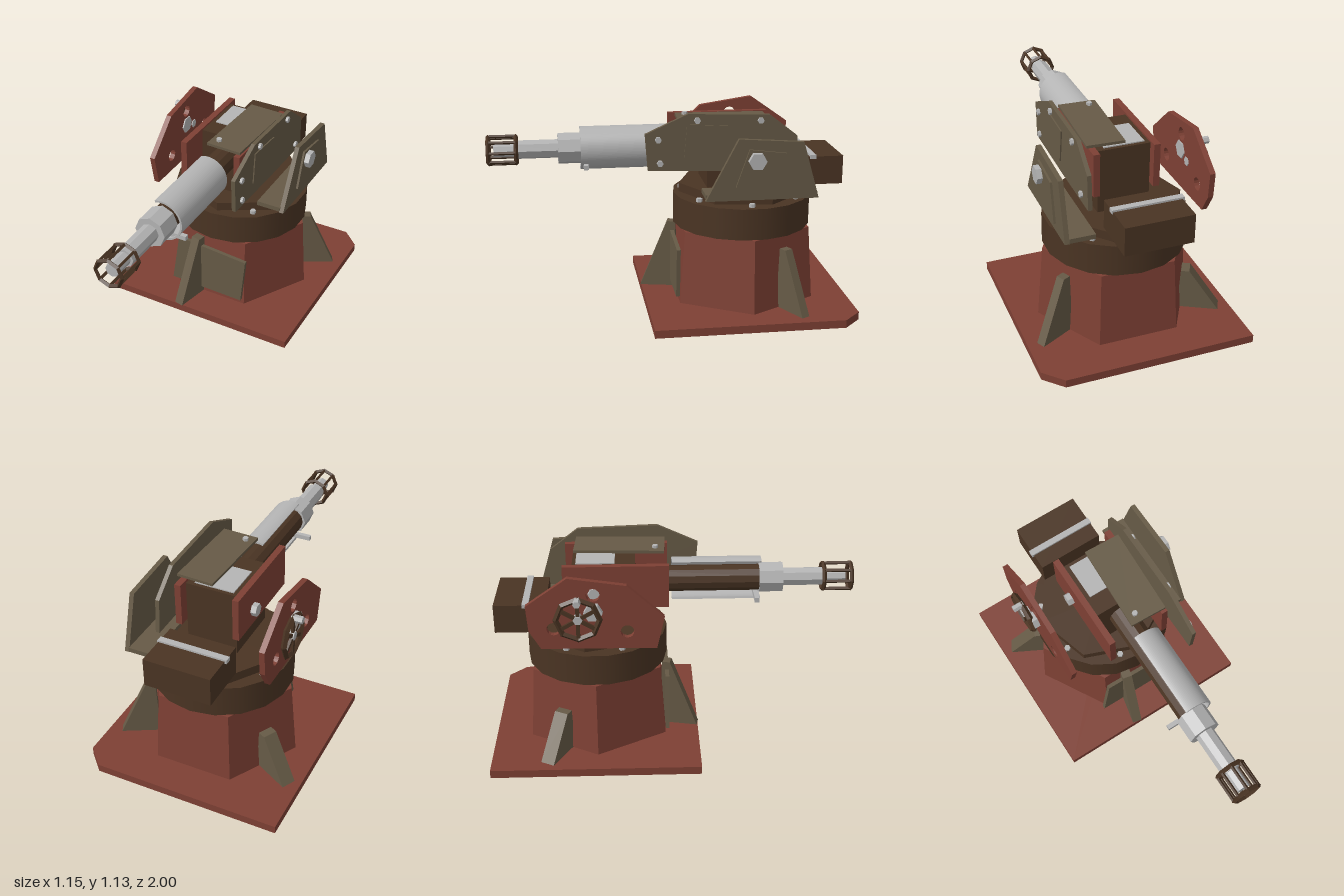
import * as THREE from 'three';

const mat = (name, color, side = THREE.FrontSide) => {
  const m = new THREE.MeshStandardMaterial({ color, side });
  m.name = name;
  return m;
};

export function createModel() {
  const red = mat('oxide red', 0x7e4034);
  const olive = mat('olive drab', 0x665a46);
  const brown = mat('dark brown', 0x4a3423);
  const steel = mat('bare steel', 0xb4b4b4);
  const model = new THREE.Group();
  const CZ = -0.42, AY = 0.91; // turret axis z, gun axis y

  const add = (name, geo, material, x = 0, y = 0, z = 0, parent = model) => {
    const m = new THREE.Mesh(geo, material);
    m.name = name;
    m.position.set(x, y, z);
    parent.add(m);
    return m;
  };
  // Box given by its limits
  const box = (name, material, x0, x1, y0, y1, z0, z1) =>
    add(name, new THREE.BoxGeometry(x1 - x0, y1 - y0, z1 - z0), material,
      (x0 + x1) / 2, (y0 + y1) / 2, (z0 + z1) / 2);
  const faceted = g => { const n = g.toNonIndexed(); n.computeVertexNormals(); return n; };
  // Polygonal bar along an axis
  const bar = (name, material, axis, r, from, to, a, b, sides = 6) => {
    const g = faceted(new THREE.CylinderGeometry(r, r, to - from, sides));
    const mid = (from + to) / 2;
    if (axis === 'x') { g.rotateZ(-Math.PI / 2); return add(name, g, material, mid, a, b); }
    if (axis === 'z') { g.rotateX(Math.PI / 2); return add(name, g, material, a, b, mid); }
    return add(name, g, material, a, mid, b);
  };
  const extrude = (shape, depth) => new THREE.ExtrudeGeometry(shape, { depth, bevelEnabled: false, curveSegments: 8 });
  // Plate with a [z, y] outline, spanning x0..x1, with round holes [z, y, r]
  const sidePlate = (name, material, pts, x0, x1, holes = []) => {
    const s = new THREE.Shape(pts.map(([z, y]) => new THREE.Vector2(-z, y)));
    for (const [z, y, r] of holes) s.holes.push(new THREE.Path().absarc(-z, y, r, 0, Math.PI * 2, true));
    return add(name, extrude(s, x1 - x0).rotateY(Math.PI / 2), material, x0);
  };

  // Base plate with one cut corner
  const baseShape = new THREE.Shape([[-0.575, -0.145], [0.575, -0.145], [0.575, 0.9], [0.475, 1], [-0.575, 1]]
    .map(p => new THREE.Vector2(...p)));
  add('basePlate', extrude(baseShape, 0.045).rotateX(-Math.PI / 2), red);

  // Hexagonal pedestal
  add('pedestal', faceted(new THREE.CylinderGeometry(0.405, 0.437, 0.415, 6, 1, false, Math.PI / 6)),
    red, 0, 0.2525, CZ);

  // Triangular gussets: angle, outer radius, height, thickness
  for (const [deg, r, top, t] of [[-12, 0.577, 0.44, 0.055], [118, 0.577, 0.39, 0.05], [-118, 0.585, 0.28, 0.08]]) {
    const s = new THREE.Shape([[0.36, 0.045], [r, 0.045], [0.42, top], [0.375, top]]
      .map(p => new THREE.Vector2(...p)));
    const g = extrude(s, t).translate(0, 0, -t / 2);
    add('gusset', g, olive, 0, 0, CZ).rotation.y = THREE.MathUtils.degToRad(deg - 90);
  }

  // Patch plate on the pedestal front
  const patch = new THREE.Shape([[-0.205, 0.4], [-0.25, 0.09], [0.205, 0.08], [0.23, 0.365]]
    .map(p => new THREE.Vector2(...p)));
  add('patchPlate', extrude(patch, 0.022), olive, 0, 0, -0.042);

  // Turntable ring, bolts and deck
  add('turntableRing', new THREE.CylinderGeometry(0.39, 0.39, 0.175, 18), brown, 0, 0.5475, CZ);
  for (let i = 0; i < 7; i++) {
    const a = (-14 + i * 360 / 7) * Math.PI / 180;
    bar('ringBolt', steel, 'y', 0.017, 0.63, 0.655, 0.345 * Math.sin(a), CZ + 0.345 * Math.cos(a));
  }
  add('turretDeck', faceted(new THREE.CylinderGeometry(0.362, 0.362, 0.05, 7, 1, false, 0.07)),
    brown, 0, 0.67, CZ);

  // Gun body
  box('receiver', brown, -0.145, 0.14, 0.695, 1.05, -0.54, -0.2);
  box('boltCover', steel, -0.12, 0.1, 1.045, 1.056, -0.52, -0.31);
  box('ammoBox', brown, -0.21, 0.16, 0.695, 0.855, -0.965, -0.685);
  box('ammoBoxStrip', steel, -0.222, 0.165, 0.843, 0.865, -0.81, -0.775);
  for (const s of [-1, 1]) {
    box('cradlePlate', red, s * 0.1625 - 0.0175, s * 0.1625 + 0.0175, 0.82, 1.06, -0.59, -0.02);
    bar('trunnionBolt', steel, 'x', 0.036, s * 0.19 - 0.02, s * 0.19 + 0.02, AY, CZ);
  }

  // Barrel sections
  bar('barrelSleeve', brown, 'z', 0.072, -0.2, 0.49, 0, AY, 12);
  bar('barrelCollar', steel, 'z', 0.087, 0.48, 0.61, 0, AY, 8);
  bar('barrel', steel, 'z', 0.052, 0.6, 0.85, 0, AY, 8);
  bar('muzzle', steel, 'z', 0.038, 0.85, 0.96, 0, AY, 8);
  box('barrelCrossbar', steel, -0.13, 0.13, 0.815, 0.84, 0.45, 0.475);

  // Curved heat shroud, open on one side
  const shroud = new THREE.Shape();
  const open = 1.93;
  shroud.absarc(0, 0, 0.118, -open, open, false);
  shroud.absarc(0, 0, 0.107, open, -open, true);
  add('heatShroud', new THREE.ExtrudeGeometry(shroud, { depth: 0.49, bevelEnabled: false, curveSegments: 28 }),
    steel, 0, AY, 0);

  // Muzzle cage
  for (const z of [0.838, 0.988])
    add('cageRing', faceted(new THREE.TorusGeometry(0.077, 0.012, 4, 8)), brown, 0, AY, z);
  for (let i = 0; i < 8; i++) {
    const a = i * Math.PI / 4;
    bar('cageBar', brown, 'z', 0.009, 0.835, 0.99, 0.077 * Math.cos(a), AY + 0.077 * Math.sin(a), 4);
  }

  // Top armour
  const roof = add('topArmour', new THREE.BoxGeometry(0.205, 0.015, 0.495), olive, 0.083, 1.0775, -0.285);
  roof.rotation.y = -0.04;
  bar('topBolt', steel, 'y', 0.016, 1.08, 1.1, 0.02, -0.09);

  // Inner left armour with raised panel and bolts
  sidePlate('innerArmour', olive, [[0.155, 1.03], [0.14, 0.83], [-0.3, 0.815], [-0.69, 0.81], [-0.675, 1.0],
    [-0.52, 1.12], [-0.075, 1.135]], 0.222, 0.245);
  sidePlate('innerArmourPanel', olive, [[-0.07, 1.08], [-0.055, 0.9], [-0.275, 0.88], [-0.3, 1.065]], 0.244, 0.252);
  for (const [z, y] of [[-0.125, 1.1], [-0.47, 1.09], [0.085, 1.0], [0.075, 0.87], [-0.6, 0.86]])
    bar('armourBolt', steel, 'x', 0.018, 0.24, 0.259, y, z);

  // Outer left bracket with foot, panel and pivot bolt
  sidePlate('outerBracket', olive, [[-0.325, 1.025], [-0.15, 0.69], [-0.765, 0.69], [-0.675, 1.0]], 0.368, 0.394);
  box('bracketFoot', olive, 0.23, 0.37, 0.692, 0.718, -0.765, -0.155);
  sidePlate('bracketPanel', olive, [[-0.38, 0.97], [-0.31, 0.765], [-0.63, 0.735], [-0.58, 0.945]], 0.392, 0.406);
  bar('pivotBolt', steel, 'x', 0.049, 0.39, 0.435, AY, CZ);

  // Right side plate with holes
  sidePlate('rightSidePlate', red, [[-0.05, 0.87], [-0.09, 0.69], [-0.7, 0.695], [-0.76, 0.8], [-0.77, 0.94],
    [-0.55, 1.095], [-0.245, 1.05]], -0.405, -0.375,
  [[-0.245, 0.79, 0.036], [-0.63, 0.81, 0.036], [-0.42, 1.0, 0.036]]);
  bar('rightPivotBolt', steel, 'x', 0.05, -0.437, -0.368, AY, CZ);

  // Elevation handwheel
  const wheel = new THREE.Group();
  wheel.name = 'handwheel';
  wheel.position.set(-0.437, 0.877, -0.5);
  model.add(wheel);
  add('wheelRim', faceted(new THREE.TorusGeometry(0.114, 0.016, 4, 8).rotateY(Math.PI / 2)), brown, 0, 0, 0, wheel);
  for (let i = 0; i < 3; i++)
    add('wheelSpoke', new THREE.BoxGeometry(0.015, 0.22, 0.02), brown, 0, 0, 0, wheel).rotation.x = i * Math.PI / 3;
  bar('wheelHandle', steel, 'x', 0.02, -0.49, -0.43, 0.985, -0.5);
  bar('wheelAxle', steel, 'x', 0.025, -0.45, -0.37, 0.877, -0.5);

  return model;
}
